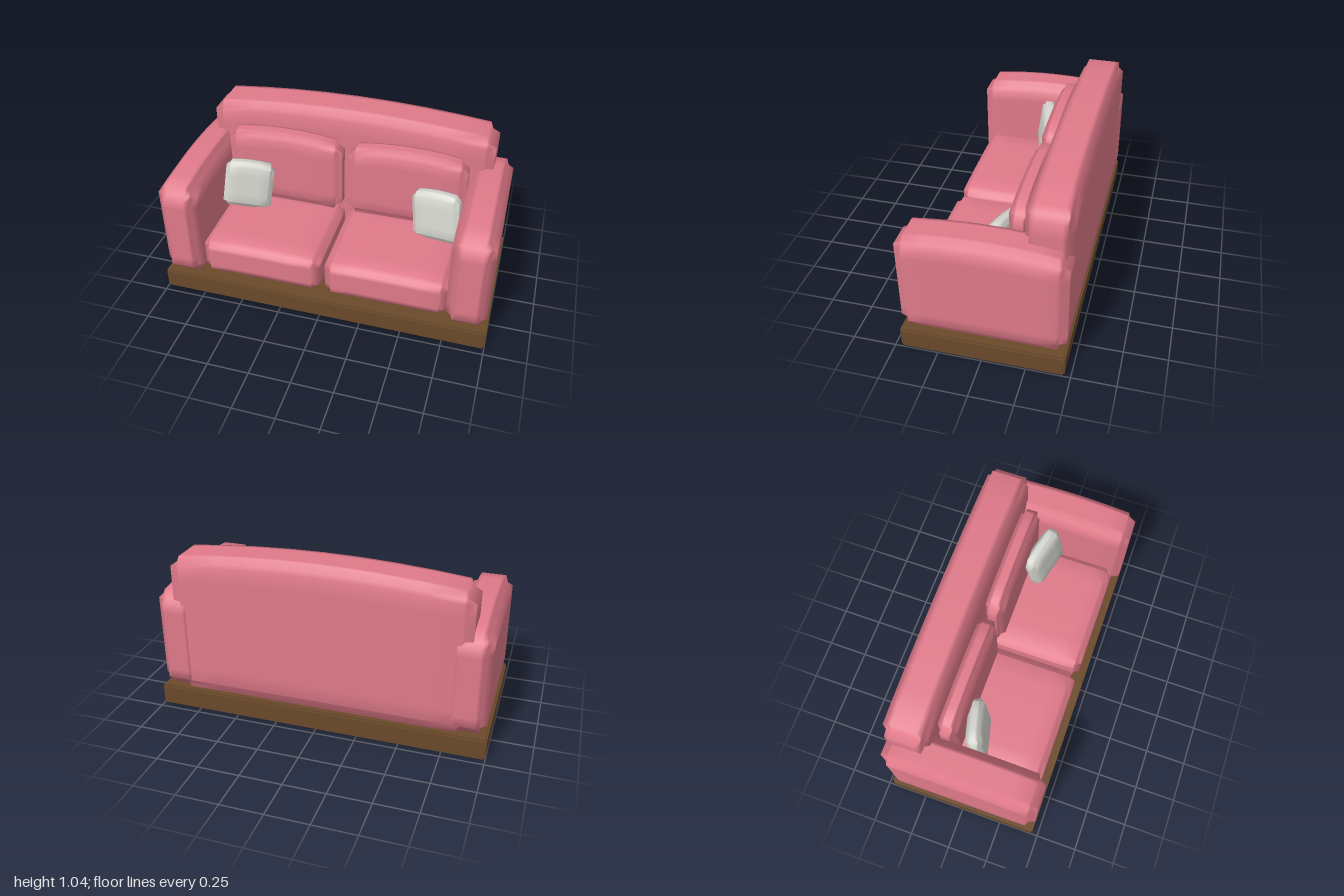
import * as THREE from 'three';
import { mergeVertices } from 'three/addons/utils/BufferGeometryUtils.js';

const pink = new THREE.MeshStandardMaterial({ color: 0xe07a8a });
pink.name = 'rose fabric';
const grey = new THREE.MeshStandardMaterial({ color: 0xd6d6d0 });
grey.name = 'pale grey fabric';
const brown = new THREE.MeshStandardMaterial({ color: 0x6b4a2b });
brown.name = 'brown wood';

// Upholstered block: six raised face panels whose shared edges are tucked in.
// size = overall size, inset = panel margin per axis, tuck = seam depth per axis,
// arch = extra height in the middle of the top, along archAxis.
function padGeometry({ size, inset, tuck, arch = 0, archAxis = 0, n = 8, flat = false }) {
  let geo = new THREE.BoxGeometry(2, 2, 2, n, n, n);
  geo.deleteAttribute('uv');
  geo.deleteAttribute('normal');
  geo = mergeVertices(geo, 1e-4);
  const pos = geo.attributes.position;
  const half = size.map((s) => s / 2);
  const inner = 1 - 2 / n;
  for (let i = 0; i < pos.count; i++) {
    const c = [pos.getX(i), pos.getY(i), pos.getZ(i)];
    const ends = c.map((v) => Math.abs(v) > 0.999);
    const seam = ends.filter(Boolean).length > 1;
    const p = c.map((v, a) => ends[a]
      ? Math.sign(v) * (half[a] - (seam ? tuck[a] : 0))
      : (v / inner) * (half[a] - inset[a]));
    const u = p[archAxis] / half[archAxis];
    p[1] += arch * (1 - u * u) * (p[1] + half[1]) / size[1];
    pos.setXYZ(i, ...p);
  }
  if (flat) geo = geo.toNonIndexed();
  geo.computeVertexNormals();
  return geo;
}

function addPad(group, name, material, center, options) {
  const mesh = new THREE.Mesh(padGeometry(options), material);
  mesh.name = name;
  mesh.position.set(...center);
  group.add(mesh);
  return mesh;
}

export function createModel() {
  const sofa = new THREE.Group();
  sofa.name = 'sofa';

  // Wooden plinth
  addPad(sofa, 'base', brown, [0, 0.065, 0], {
    size: [2, 0.13, 0.93], inset: [0.01, 0.01, 0.01], tuck: [0.01, 0.01, 0.01], n: 4, flat: true,
  });

  // Tall backrest with arched top
  addPad(sofa, 'backrest', pink, [0, 0.56, -0.335], {
    size: [1.76, 0.85, 0.258], inset: [0.06, 0.06, 0.032], tuck: [0.045, 0.045, 0.026],
    arch: 0.055, archAxis: 0, n: 10,
  });

  for (const side of [-1, 1]) {
    const label = side > 0 ? 'left' : 'right';

    // Arm
    addPad(sofa, label + 'Arm', pink, [side * 0.87, 0.446, 0], {
      size: [0.24, 0.618, 0.93], inset: [0.045, 0.06, 0.054], tuck: [0.032, 0.048, 0.04],
      arch: 0.037, archAxis: 2, n: 10,
    });

    // Seat cushion
    addPad(sofa, label + 'SeatCushion', pink, [side * 0.385, 0.262, 0.105], {
      size: [0.74, 0.244, 0.63], inset: [0.048, 0.04, 0.04], tuck: [0.036, 0.03, 0.03],
      arch: 0.008, archAxis: 0,
    });

    // Back cushion
    addPad(sofa, label + 'BackCushion', pink, [side * 0.383, 0.622, -0.15], {
      size: [0.726, 0.47, 0.122], inset: [0.05, 0.05, 0.03], tuck: [0.036, 0.036, 0.024],
      arch: 0.035, archAxis: 0,
    });

    // Throw pillow leaning in the corner
    const pillow = addPad(sofa, label + 'Pillow', grey, [side * 0.6, 0.54, -0.015], {
      size: [0.3, 0.3, 0.095], inset: [0.03, 0.03, 0.024], tuck: [0.02, 0.02, 0.018],
      arch: 0.015, archAxis: 0, n: 6,
    });
    pillow.rotation.set(-0.12, -side * 0.28, side * 0.15, 'YXZ');
  }

  return sofa;
}
